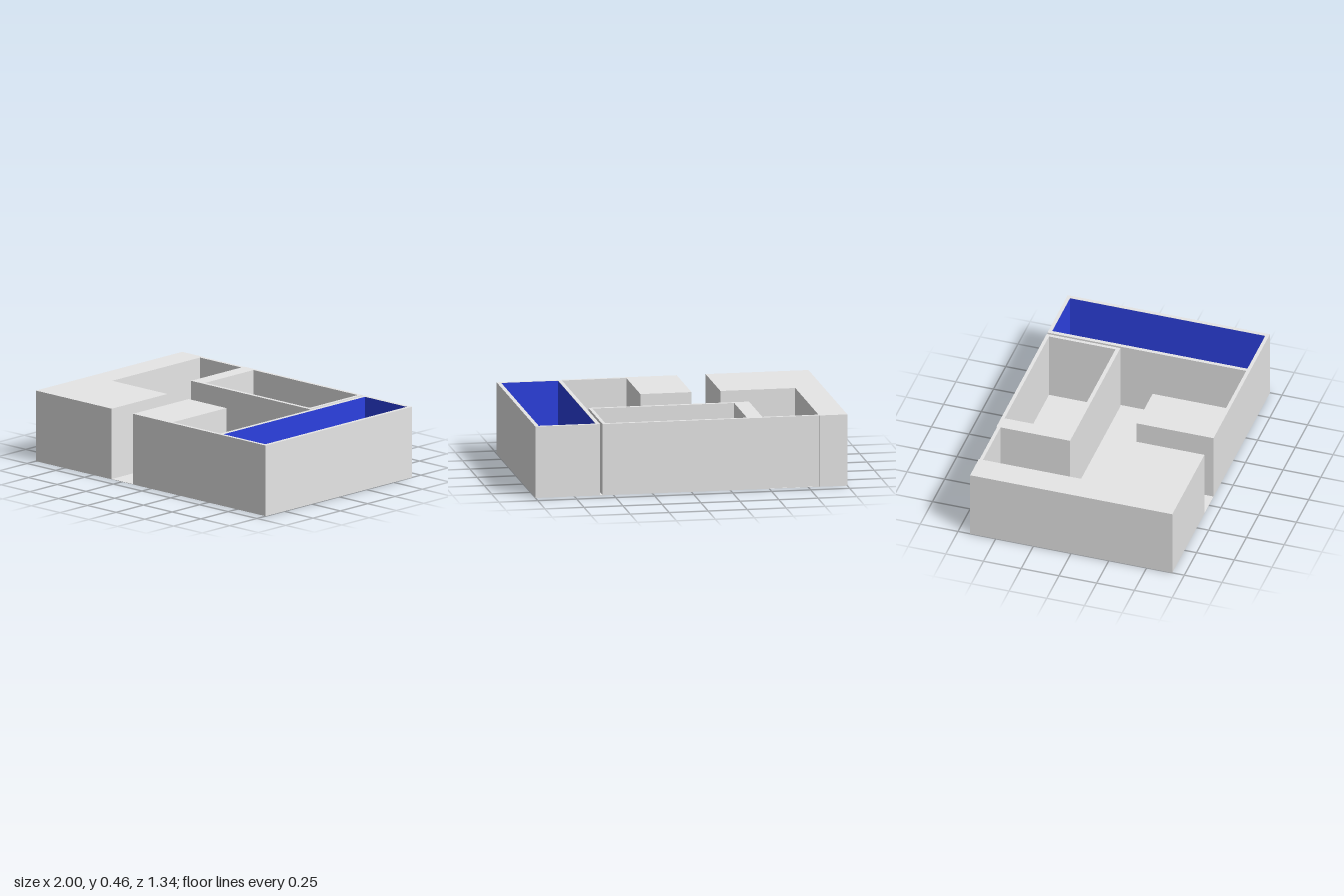
import * as THREE from 'three';

const grey = new THREE.MeshStandardMaterial({ color: 0xe6e6e6 });
grey.name = 'plaster grey';
const blue = new THREE.MeshStandardMaterial({ color: 0x2c40e0 });
blue.name = 'lining blue';

const HEIGHT = 0.46;
const FLOOR = 0.002;
const DEPTH = 0.67;

// Plan corners are [x, z]
const rect = (x0, x1, z0, z1) => [[x0, z0], [x1, z0], [x1, z1], [x0, z1]];
const toPoints = (corners) => corners.map(([x, z]) => new THREE.Vector2(x, -z));

// Raises a plan outline, with an optional hole wound the other way, to the wall top
function raise(name, outline, hole) {
  const shape = new THREE.Shape(toPoints(outline));
  if (hole) shape.holes.push(new THREE.Path(toPoints(hole).reverse()));
  const geometry = new THREE.ExtrudeGeometry(shape, { depth: HEIGHT - FLOOR, bevelEnabled: false });
  geometry.rotateX(-Math.PI / 2).translate(0, FLOOR, 0);
  const mesh = new THREE.Mesh(geometry, grey);
  mesh.name = name;
  return mesh;
}

// Four wall faces that look inwards
function lining(name, x0, x1, z0, z1) {
  const inset = 0.002;
  const h = HEIGHT - FLOOR;
  const geometry = new THREE.BoxGeometry(x1 - x0 - 2 * inset, h, z1 - z0 - 2 * inset);
  const index = Array.from(geometry.index.array);
  index.splice(12, 12); // remove the lid and bottom
  geometry.setIndex(index.reverse());
  geometry.clearGroups();
  const normal = geometry.attributes.normal;
  for (let i = 0; i < normal.array.length; i++) normal.array[i] *= -1;
  geometry.translate((x0 + x1) / 2, HEIGHT - h / 2, (z0 + z1) / 2);
  const mesh = new THREE.Mesh(geometry, blue);
  mesh.name = name;
  return mesh;
}

export function createModel() {
  const model = new THREE.Group();
  model.name = 'walledBuilding';

  // Ground slab
  const floor = new THREE.Mesh(new THREE.BoxGeometry(2, FLOOR, 2 * DEPTH), grey);
  floor.name = 'floor';
  floor.position.y = FLOOR / 2;
  model.add(floor);

  // Solid L-shaped wing beside the entrance
  model.add(raise('cornerWing', [
    [-1, -DEPTH], [-0.82, -DEPTH], [-0.82, 0.16], [-0.34, 0.16], [-0.34, DEPTH], [-1, DEPTH],
  ]));

  // Slightly recessed back wall
  model.add(raise('backWall', rect(-0.82, -0.46, -DEPTH + 0.005, -0.643)));

  // Hollow room at the back, open at the top
  model.add(raise('backRoom',
    rect(-0.46, 0.57, -DEPTH, -0.182),
    rect(-0.36, 0.548, -0.648, -0.207)));

  // Solid block and thin front wall on the other side of the entrance
  model.add(raise('entranceBlock', [
    [-0.155, 0.16], [0.173, 0.16], [0.173, 0.647], [0.585, 0.647], [0.585, DEPTH], [-0.155, DEPTH],
  ]));

  // Long side room with coloured walls inside
  const room = [0.61, 0.975, -0.648, 0.647];
  model.add(raise('sideRoom', rect(0.585, 1, -DEPTH, DEPTH), rect(...room)));
  model.add(lining('sideRoomLining', ...room));

  return model;
}
